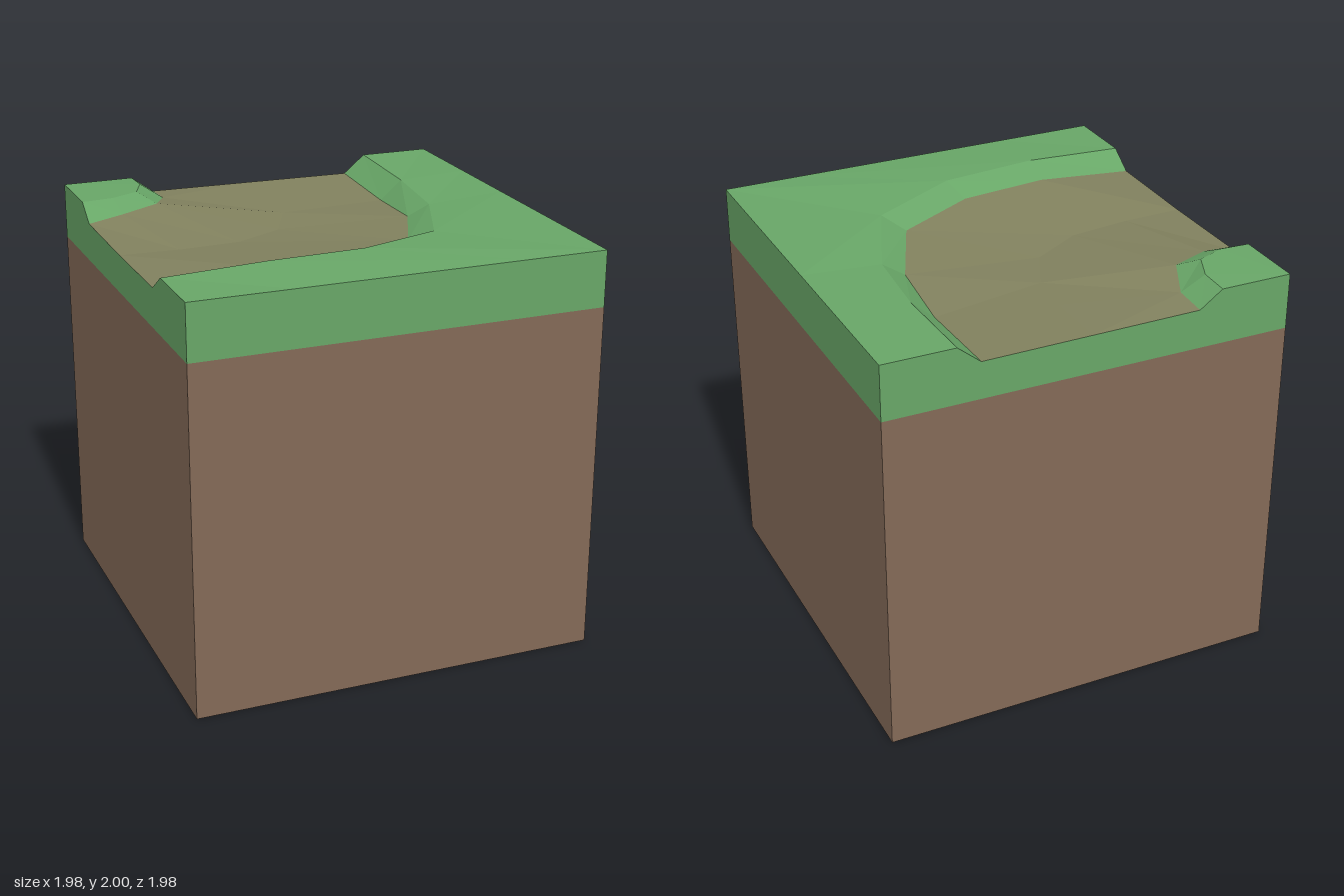
import * as THREE from 'three';

const H = 0.99;       // half width of the tile
const TOP = 1.98;     // turf level
const SOIL = 1.71;    // top of the soil block

const mat = (name, color) => {
  const m = new THREE.MeshStandardMaterial({ color });
  m.name = name;
  return m;
};

// Flat-faced geometry between pairs of equally long rows; the first row is the outer one
function strips(...pairs) {
  const pos = [];
  const tri = (a, b, c) => {
    if (a !== b && b !== c && a !== c) pos.push(...a, ...b, ...c);
  };
  for (const [a, b] of pairs) {
    for (let i = 0; i < a.length - 1; i++) {
      tri(a[i], a[i + 1], b[i]);
      tri(a[i + 1], b[i + 1], b[i]);
    }
  }
  const g = new THREE.BufferGeometry();
  g.setAttribute('position', new THREE.Float32BufferAttribute(pos, 3));
  g.computeVertexNormals();
  return g;
}

export function createModel() {
  const group = new THREE.Group();
  const grass = mat('grass green', 0x68a667);
  const soil = mat('soil brown', 0x836957);
  const dirt = mat('path olive', 0x81815e);
  const add = (name, geometry, material) => {
    const mesh = new THREE.Mesh(geometry, material);
    mesh.name = name;
    group.add(mesh);
    return mesh;
  };

  // Rows run around the back right corner, from the right edge to the back edge
  const rim = [[-H, TOP, H], [-0.5, TOP, H], [0.6, TOP, H], [H, TOP, H],
    [H, TOP, -0.07], [H, TOP, -0.5], [H, TOP, -H]];
  const bankTop = [[-H, TOP, 0.64], [-0.5, 2, 0.64], [-0.02, 1.993, 0.6], [0.41, 1.97, 0.4],
    [0.6, 1.955, -0.07], [0.64, 1.965, -0.5], [0.64, TOP, -H]];
  const bankFoot = [[-H, 1.9, 0.52], [-0.5, 1.94, 0.52], [-0.07, 1.93, 0.49], [0.32, 1.91, 0.31],
    [0.5, 1.895, -0.1], [0.53, 1.87, -0.5], [0.53, 1.89, -H]];
  const pathMiddle = [[-H, 1.895, 0], [-0.7, 1.89, 0], [-0.4, 1.885, -0.03], [-0.15, 1.88, -0.17],
    [-0.03, 1.885, -0.42], [0, 1.89, -0.66], [0, 1.895, -H]];
  const moundFoot = [[-H, 1.9, -0.53], [-0.82, 1.93, -0.53], [-0.62, 1.94, -0.62],
    [-0.53, 1.91, -0.82], [-0.53, 1.9, -H]];
  const moundTop = [[-H, TOP, -0.64], [-0.84, 1.985, -0.64], [-0.7, 1.987, -0.7],
    [-0.64, 1.985, -0.84], [-0.64, TOP, -H]];
  const corner = [-H, TOP, -H];

  // Soil block
  add('soilBlock', new THREE.BoxGeometry(2 * H, SOIL, 2 * H), soil).position.y = SOIL / 2;

  // Turf and sloping bank outside the curve
  add('outerTurf', strips([rim, bankTop], [bankTop, bankFoot]), grass);

  // Sunken curved path
  const innerEdge = [0, 1, 2, 2, 3, 3, 4].map((i) => moundFoot[i]);
  add('path', strips([bankFoot, pathMiddle], [pathMiddle, innerEdge]), dirt);

  // Small corner mound inside the curve
  add('cornerMound', strips([moundFoot, moundTop], [moundTop, moundTop.map(() => corner)]), grass);

  // Turf side band, following the height of the ground along every edge
  const edge = [...rim, bankTop[6], bankFoot[6], pathMiddle[6], moundFoot[4], moundTop[4], corner,
    moundTop[0], moundFoot[0], pathMiddle[0], bankFoot[0], bankTop[0], rim[0]];
  add('turfSides', strips([edge.map(([x, , z]) => [x, SOIL, z]), edge]), grass);

  return group;
}
